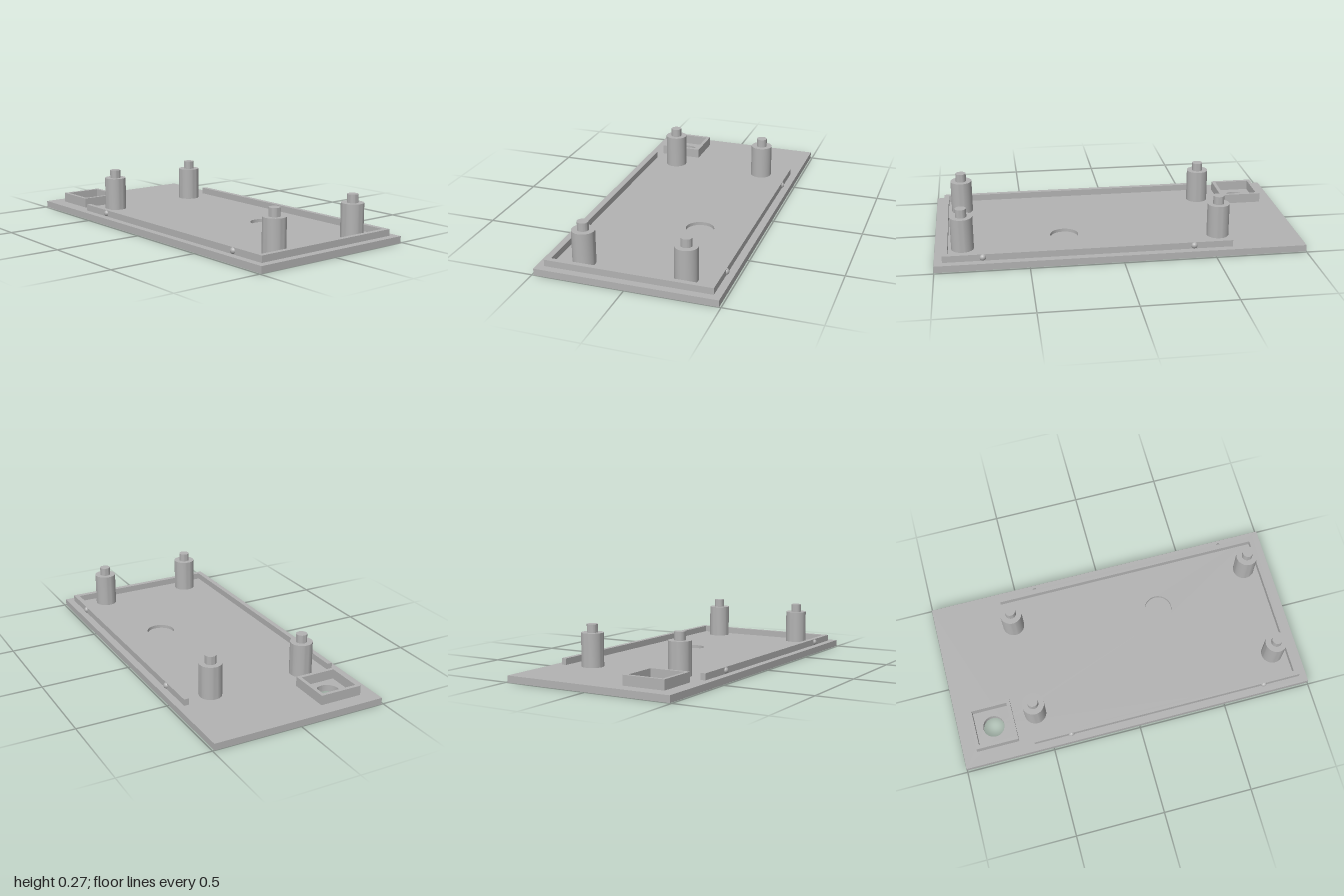
import * as THREE from 'three';
import { toCreasedNormals, mergeGeometries } from 'three/addons/utils/BufferGeometryUtils.js';

const T = 0.037;          // plate thickness
const HALF_Z = 0.49;      // half the plate depth
const V = (x, z) => new THREE.Vector2(x, z);
const rect = (x0, z0, x1, z1) => [V(x0, z0), V(x1, z0), V(x1, z1), V(x0, z1)];
const circle = (x, z, r, n = 40) => Array.from({ length: n }, (_, i) => {
  const a = (i / n) * Math.PI * 2;
  return V(x + r * Math.cos(a), z + r * Math.sin(a));
});

function shapeOf(outline, holes = []) {
  const s = new THREE.Shape(outline);
  s.holes = holes.map((h) => new THREE.Path(h));
  return s;
}

// Horizontal face of a plan outline, facing up or down
function face(y, up, outline, holes) {
  const g = new THREE.ShapeGeometry(shapeOf(outline, holes)).rotateX(Math.PI / 2).translate(0, y, 0);
  if (up) g.index.array.reverse();
  const out = g.toNonIndexed();
  out.deleteAttribute('uv');
  out.computeVertexNormals();
  return out;
}

// Vertical wall round a plan outline, facing outward or into a recess
function wall(outline, y0, y1, inward) {
  const pos = [];
  outline.forEach((p, i) => {
    const q = outline[(i + 1) % outline.length];
    const a = [p.x, y0, p.y], b = [q.x, y0, q.y], c = [q.x, y1, q.y], d = [p.x, y1, p.y];
    pos.push(...(inward ? [a, b, c, a, c, d] : [a, d, c, a, c, b]).flat());
  });
  const g = new THREE.BufferGeometry();
  g.setAttribute('position', new THREE.Float32BufferAttribute(pos, 3));
  g.computeVertexNormals();
  return toCreasedNormals(g, 0.6);
}

// Solid from a plan outline between two heights
function slab(y0, y1, outline, holes) {
  return new THREE.ExtrudeGeometry(shapeOf(outline, holes), { depth: y1 - y0, bevelEnabled: false })
    .rotateX(Math.PI / 2).translate(0, y1, 0);
}

export function createModel() {
  const group = new THREE.Group();
  const grey = new THREE.MeshStandardMaterial({ color: 0xb2b2b2 });
  grey.name = 'plain grey';
  const add = (name, geometry, x = 0, y = 0, z = 0) => {
    const mesh = new THREE.Mesh(geometry, grey);
    mesh.name = name;
    mesh.position.set(x, y, z);
    group.add(mesh);
    return mesh;
  };

  // Base plate with a through hole, a round pocket on top and an arrow recess below
  const plate = rect(-1, -HALF_Z, 1, HALF_Z);
  const hole = circle(-0.8, 0.29, 0.06);
  const pocket = circle(0.29, -0.16, 0.078);
  const arrow = [[0.665, 0], [0.51, 0.145], [0.51, 0.06], [0.345, 0.06],
    [0.345, -0.06], [0.51, -0.06], [0.51, -0.145]].map(([x, z]) => V(x, z + 0.015));
  const pocketY = 0.019, arrowY = 0.012;
  add('basePlate', mergeGeometries([
    face(T, true, plate, [hole, pocket]),
    face(0, false, plate, [hole, arrow]),
    wall(plate, 0, T, false),
    wall(hole, 0, T, true),
  ]));
  add('roundPocket', mergeGeometries([face(pocketY, true, pocket), wall(pocket, pocketY, T, true)]));
  add('arrowRecess', mergeGeometries([face(arrowY, false, arrow), wall(arrow, 0, arrowY, true)]));

  // U-shaped locating rim, open at the -x end
  const x0 = -0.6, x1 = 0.957, z1 = 0.45, t = 0.028;
  add('rim', slab(T, 0.073, [
    V(x0, -z1), V(x1, -z1), V(x1, z1), V(x0, z1),
    V(x0, z1 - t), V(x1 - t, z1 - t), V(x1 - t, -z1 + t), V(x0, -z1 + t),
  ]));

  // Square collar round the through hole
  add('squareCollar', slab(T, 0.091, rect(-0.92, 0.17, -0.68, 0.41), [rect(-0.9, 0.19, -0.7, 0.39)]));

  // Stepped posts and snap bumps, mirrored front to back
  const profile = [V(0.061, T), V(0.061, 0.222), V(0.03, 0.222), V(0.03, 0.268), V(0, 0.268)];
  const post = toCreasedNormals(new THREE.LatheGeometry(profile, 40), 0.6);
  const bump = new THREE.SphereGeometry(0.018, 20, 14);
  for (const side of [1, -1]) {
    const end = side > 0 ? 'Front' : 'Back';
    for (const x of [-0.555, 0.85]) add('post' + end, post, x, 0, side * 0.275);
    for (const x of [-0.387, 0.744]) add('snapBump' + end, bump, x, 0.055, side * 0.445);
  }
  return group;
}
